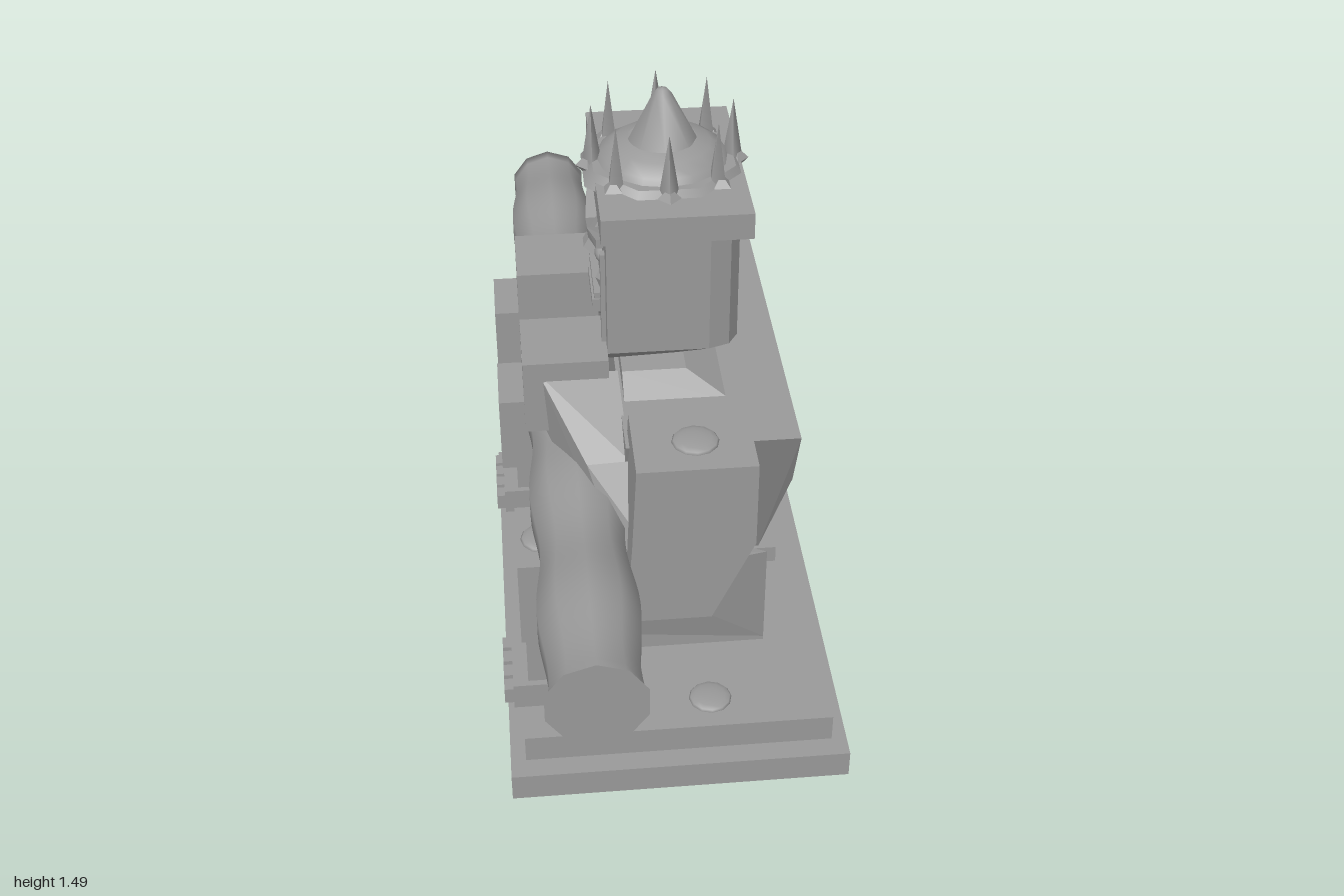
import * as THREE from 'three';
import { ConvexGeometry } from 'three/addons/geometries/ConvexGeometry.js';

export function createModel() {
  const model = new THREE.Group();
  const stone = new THREE.MeshStandardMaterial({ color: 0x999999 });
  stone.name = 'grey stone';

  const add = (name, geometry, x = 0, y = 0, z = 0) => {
    const mesh = new THREE.Mesh(geometry, stone);
    mesh.name = name;
    mesh.position.set(x, y, z);
    model.add(mesh);
    return mesh;
  };
  // Box given by its limits
  const box = (name, x0, x1, y0, y1, z0, z1) =>
    add(name, new THREE.BoxGeometry(x1 - x0, y1 - y0, Math.abs(z1 - z0)),
      (x0 + x1) / 2, (y0 + y1) / 2, (z0 + z1) / 2);
  // Faceted block around a few corners; s mirrors it in z
  const block = (name, points, s = 1) =>
    add(name, new ConvexGeometry(points.map(([x, y, z]) => new THREE.Vector3(x, y, z * s))));
  // Block whose corners are the same on both sides of the body
  const symmetric = (name, points) =>
    block(name, points.flatMap(([x, y, z]) => [[x, y, z], [x, y, -z]]));
  const rivet = (x, y, z) => {
    const dome = add('rivet', new THREE.SphereGeometry(0.05, 12, 4, 0, Math.PI * 2, 0, Math.PI / 2), x, y, z);
    dome.scale.y = 0.24;
  };

  // Stepped base
  box('lowerPlinth', -0.39, 0.39, 0, 0.07, -0.6, 0.6);
  box('upperPlinth', -0.355, 0.355, 0.07, 0.14, -0.55, 0.55);
  rivet(-0.24, 0.14, 0.5);
  rivet(0.08, 0.14, 0.46);
  rivet(0.22, 0.14, -0.51);

  // Body
  box('pelvis', -0.125, 0.23, 0.14, 0.42, -0.28, 0.28);
  box('belt', -0.12, 0.25, 0.39, 0.432, -0.28, 0.28);
  symmetric('torso', [
    [0.26, 0.89, 0.46], [0.26, 0.72, 0.385], [0.21, 0.43, 0.27],
    [-0.11, 0.89, 0.46], [-0.11, 0.72, 0.385], [-0.1, 0.43, 0.27],
  ]);
  symmetric('collar', [
    [0.14, 0.88, 0.31], [-0.1, 0.88, 0.31], [0.04, 0.93, 0.24], [-0.1, 0.93, 0.24],
  ]);
  box('neck', -0.1, 0.12, 0.88, 0.96, -0.11, 0.11);

  // Legs and arms
  for (const s of [1, -1]) {
    block('thigh', [
      [0.23, 0.15, 0.28], [0.23, 0.42, 0.28], [0.23, 0.15, 0.1], [0.23, 0.42, 0.1],
      [0, 0.15, 0.2], [-0.17, 0.25, 0.28], [-0.17, 0.36, 0.455],
      [-0.12, 0.52, 0.455], [-0.17, 0.57, 0.44], [-0.15, 0.57, 0.26],
    ], s);
    box('knee', -0.35, -0.15, 0.35, 0.573, s * 0.25, s * 0.455);
    rivet(-0.29, 0.573, s * 0.36);
    box('shin', -0.34, -0.17, 0.2, 0.36, s * 0.27, s * 0.435);
    box('foot', -0.375, -0.16, 0.14, 0.208, s * 0.255, s * 0.45);
    for (let i = 0; i < 4; i++) {
      const z = 0.265 + i * 0.046;
      box('toe', -0.396, -0.37, 0.145, 0.187, s * z, s * (z + 0.035));
    }

    block('upperArm', [
      [-0.1, 0.935, 0.4], [0.15, 0.935, 0.4], [-0.11, 0.73, 0.4], [0.15, 0.73, 0.4],
      [-0.1, 0.935, 0.6], [0.15, 0.935, 0.6], [-0.11, 0.73, 0.6], [0.15, 0.73, 0.6],
    ], s);
    block('elbow', [
      [-0.11, 0.73, 0.43], [0.15, 0.73, 0.43], [-0.125, 0.53, 0.46], [0.06, 0.53, 0.46],
      [-0.11, 0.73, 0.6], [0.15, 0.73, 0.6], [-0.125, 0.53, 0.6], [0.06, 0.53, 0.6],
    ], s);
    rivet(0.03, 0.935, s * 0.505);
    block('forearm', [
      [-0.28, 0.94, 0.25], [-0.11, 0.94, 0.25], [-0.27, 0.79, 0.25], [-0.11, 0.76, 0.25],
      [-0.19, 0.82, 0.42], [-0.1, 0.84, 0.44], [-0.1, 0.72, 0.52], [-0.12, 0.55, 0.5],
      [-0.1, 0.55, 0.58],
    ], s);
    box('fist', -0.315, -0.13, 0.8, 0.978, s * 0.09, s * 0.265);
    box('fingers', -0.37, -0.315, 0.69, 0.87, s * 0.1, s * 0.25);
  }

  // Rippled club, running sideways through both fists
  const profile = [new THREE.Vector2(0, -1)];
  for (let i = 0; i <= 64; i++) {
    const z = -1 + i / 32;
    profile.push(new THREE.Vector2(0.102 + 0.008 * Math.cos(z * Math.PI * 2 / 0.375), z));
  }
  const wood = new THREE.LatheGeometry(profile, 10);
  wood.rotateX(Math.PI / 2);
  const pos = wood.attributes.position;
  for (let i = 0; i < pos.count; i++) {
    pos.setY(i, pos.getY(i) - 0.015 * Math.sin(Math.PI * pos.getZ(i)));
  }
  wood.computeVertexNormals();
  add('club', wood, -0.21, 0.7, 0);
  for (const s of [1, -1]) {
    const cap = new THREE.CircleGeometry(0.106, 10, Math.PI / 2);
    if (s < 0) cap.rotateY(Math.PI);
    add('clubEnd', cap, -0.21, 0.7, s);
  }

  // Head with rounded back corners and a bevelled chin
  const head = [];
  for (const y of [0.975, 1.26]) {
    head.push([-0.13, y, 0.235], [0.09, y, 0.235], [0.135, y, 0.22], [0.157, y, 0.185]);
  }
  head.push([-0.13, 0.94, 0.2], [0.02, 0.945, 0.2]);
  symmetric('head', head);
  box('headSlab', -0.14, 0.18, 1.25, 1.31, -0.24, 0.24);

  // Face, looking towards -x
  block('nose', [
    [-0.13, 1.18, -0.015], [-0.13, 1.18, 0.015], [-0.13, 1.09, -0.04], [-0.13, 1.09, 0.04],
    [-0.165, 1.115, -0.018], [-0.165, 1.115, 0.018],
  ]);
  for (const s of [1, -1]) {
    block('brow', [
      [-0.12, 1.165, 0.02], [-0.12, 1.14, 0.02], [-0.12, 1.215, 0.15], [-0.12, 1.19, 0.15],
      [-0.158, 1.165, 0.02], [-0.155, 1.14, 0.02], [-0.145, 1.21, 0.15], [-0.145, 1.19, 0.15],
    ], s);
    const eye = add('eye', new THREE.SphereGeometry(0.026, 12, 8), -0.13, 1.14, s * 0.085);
    eye.scale.set(0.6, 0.7, 1.2);
    block('cheek', [
      [-0.125, 1.11, 0.06], [-0.125, 1.1, 0.15], [-0.125, 1.04, 0.12], [-0.145, 1.085, 0.1],
    ], s);
    box('sideburn', -0.14, -0.12, 0.98, 1.2, s * 0.175, s * 0.195);
  }
  box('upperLip', -0.148, -0.12, 1.02, 1.035, -0.085, 0.085);
  box('lowerLip', -0.152, -0.12, 0.99, 1.008, -0.07, 0.07);

  // Crown: flared rim, dome and point
  const cx = 0.01;
  const rim = add('crownRim', new THREE.CylinderGeometry(0.165, 0.187, 0.03, 8), cx, 1.311, 0);
  rim.rotation.y = Math.PI / 8;
  const dome = [[0.15, 1.31], [0.135, 1.34], [0.105, 1.36], [0.075, 1.37]];
  add('crownDome', new THREE.LatheGeometry(dome.reverse().map(([r, y]) => new THREE.Vector2(r, y)).reverse(), 16), cx);
  const tip = [[0.075, 1.365], [0.02, 1.473], [0.011, 1.483], [0, 1.486]];
  add('crownPoint', new THREE.LatheGeometry(tip.map(([r, y]) => new THREE.Vector2(r, y)), 8), cx);
  for (let i = 0; i < 8; i++) {
    const a = i * Math.PI / 4;
    const x = cx + Math.cos(a) * 0.152, z = Math.sin(a) * 0.152;
    const spike = add('crownSpike', new THREE.ConeGeometry(0.023, 0.145, 4), x, 1.38, z);
    spike.rotation.y = -a;
    const stud = add('crownStud', new THREE.OctahedronGeometry(0.026),
      cx + Math.cos(a) * 0.162, 1.31, Math.sin(a) * 0.162);
    stud.rotation.y = -a;
  }
  return model;
}
